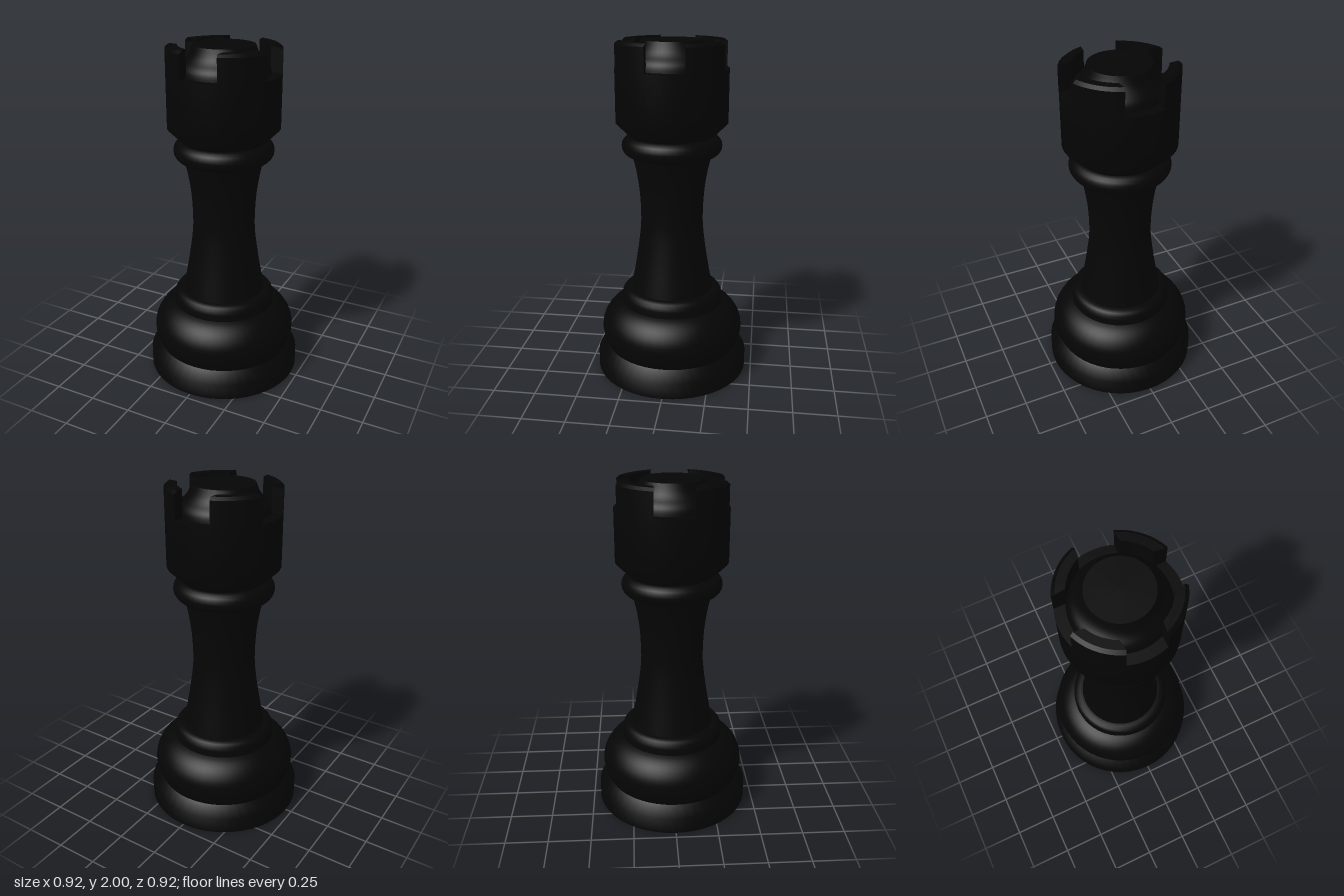
import * as THREE from 'three';
import { toCreasedNormals } from 'three/addons/utils/BufferGeometryUtils.js';

const SEGMENTS = 48;
const material = new THREE.MeshStandardMaterial({ color: 0x050505 });

const v2 = (p) => new THREE.Vector2(p[0], p[1]);
const smooth = (points, n) => new THREE.SplineCurve(points.map(v2)).getPoints(n).map((p) => [p.x, p.y]);

// Turned part from a profile of [radius, height], listed bottom to top
function turned(name, profile) {
  const geometry = toCreasedNormals(new THREE.LatheGeometry(profile.map(v2), SEGMENTS), 1);
  const mesh = new THREE.Mesh(geometry, material);
  mesh.name = name;
  return mesh;
}

// One battlement: ring sector between two axis-aligned notches, top outer edge chamfered
function battlementGeometry(inner, outer, halfGap, height) {
  const a = Math.asin(halfGap / outer);
  const b = Math.asin(halfGap / inner);
  const shape = new THREE.Shape();
  shape.absarc(0, 0, outer, a, Math.PI / 2 - a, false);
  shape.absarc(0, 0, inner, Math.PI / 2 - b, b, true);
  const geometry = new THREE.ExtrudeGeometry(shape, { depth: height, steps: 10, bevelEnabled: false, curveSegments: 10 });
  const pos = geometry.attributes.position;
  for (let i = 0; i < pos.count; i++) {
    const r = Math.hypot(pos.getX(i), pos.getY(i));
    if (pos.getZ(i) > height - 0.001 && r > (inner + outer) / 2) {
      const k = (r - 0.02) / r;
      pos.setXY(i, pos.getX(i) * k, pos.getY(i) * k);
    }
  }
  geometry.rotateX(-Math.PI / 2);
  return toCreasedNormals(geometry, 0.6);
}

export function createModel() {
  const model = new THREE.Group();
  model.name = 'rook';

  // Foot with a shallow recess underneath
  model.add(turned('foot', [
    [0, 0.08], [0.1, 0.08], [0.1, 0.04], [0.25, 0.035], [0.38, 0.02], [0.43, 0],
    [0.46, 0], [0.46, 0.1], [0.4, 0.157],
  ]));

  // Swelling above the foot
  model.add(turned('baseBulge', smooth([
    [0.4, 0.157], [0.418, 0.2], [0.43, 0.26], [0.42, 0.325], [0.385, 0.383], [0.34, 0.42], [0.3, 0.437],
  ], 18)));

  // Rounded step under the column
  model.add(turned('collar', [
    [0.305, 0.43], [0.305, 0.475], [0.3, 0.498], [0.287, 0.515], [0.265, 0.524], [0.24, 0.524],
  ]));

  // Waisted column
  model.add(turned('column', smooth([
    [0.247, 0.52], [0.214, 0.7], [0.19, 0.87], [0.184, 0.98], [0.191, 1.13], [0.21, 1.26], [0.232, 1.35],
  ], 24)));

  // Half-round ring at the neck
  const ring = [[0.2, 1.345]];
  for (let i = 0; i <= 10; i++) {
    const t = -Math.PI / 2 + (i / 10) * Math.PI;
    ring.push([0.231 + 0.06 * Math.cos(t), 1.405 + 0.06 * Math.sin(t)]);
  }
  ring.push([0.2, 1.465]);
  model.add(turned('neckRing', ring));

  // Turret body, ending in the notch floor
  model.add(turned('turret', [[0.245, 1.463], [0.323, 1.54], [0.323, 1.845], [0.24, 1.845]]));

  // Raised centre inside the battlements: flat top falling in a cove to a rounded lip
  model.add(turned('turretCentre', [
    ...smooth([
      [0.264, 1.845], [0.258, 1.875], [0.242, 1.9], [0.215, 1.925], [0.193, 1.955], [0.175, 2],
    ], 12),
    [0, 2],
  ]));

  // Four battlements on the diagonals
  const battlement = battlementGeometry(0.255, 0.323, 0.11, 0.155);
  const battlements = new THREE.Group();
  battlements.name = 'battlements';
  for (let i = 0; i < 4; i++) {
    const mesh = new THREE.Mesh(battlement, material);
    mesh.name = 'battlement';
    mesh.position.y = 1.845;
    mesh.rotation.y = (i * Math.PI) / 2;
    battlements.add(mesh);
  }
  model.add(battlements);

  return model;
}
